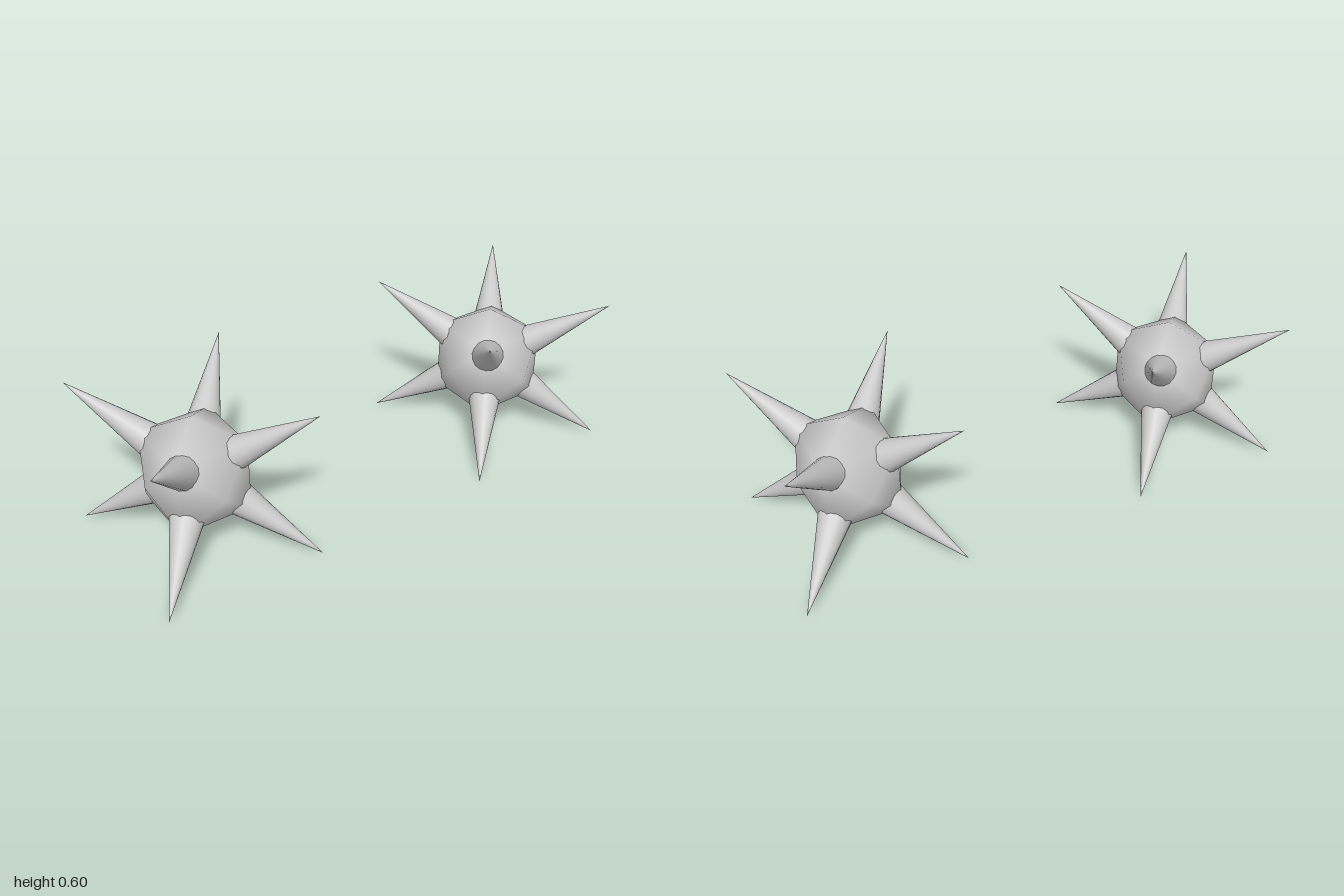
import * as THREE from 'three';
import { ConvexGeometry } from 'three/addons/geometries/ConvexGeometry.js';
import { mergeVertices } from 'three/addons/utils/BufferGeometryUtils.js';

const SIGNS = [-1, 1];
const TIP = new THREE.Vector3(0.313, 0.301, 0.35); // spike tip in the positive octant
const CORNER = 0.142; // half size of the cube under the low pyramids

// Cube with a low pyramid on each face, shaded smooth
function coreGeometry() {
  const points = [];
  for (const s of SIGNS) {
    points.push(new THREE.Vector3(s * 0.198, 0, 0));
    points.push(new THREE.Vector3(0, s * 0.228, 0));
    points.push(new THREE.Vector3(0, 0, s * 0.228));
    for (const t of SIGNS) for (const u of SIGNS) {
      points.push(new THREE.Vector3(s, t, u).multiplyScalar(CORNER));
    }
  }
  const hull = new ConvexGeometry(points);
  hull.deleteAttribute('normal');
  const geometry = mergeVertices(hull, 1e-4);
  geometry.computeVertexNormals();
  return geometry;
}

// Slender cone with its tip at the origin's far end along +y
function spikeGeometry() {
  const reach = TIP.length();
  const length = 0.41;
  const geometry = new THREE.ConeGeometry(0.071, length, 16, 4, true);
  geometry.translate(0, reach - length / 2, 0);
  return geometry;
}

export function createModel() {
  const model = new THREE.Group();
  model.name = 'spikedBalls';
  const material = new THREE.MeshStandardMaterial({ color: 0xcccccc, side: THREE.DoubleSide });
  const core = coreGeometry();
  const spike = spikeGeometry();
  const up = new THREE.Vector3(0, 1, 0);

  for (const side of SIGNS) {
    const ball = new THREE.Group();
    ball.name = side > 0 ? 'leftBall' : 'rightBall';
    ball.position.set(side * 0.687, TIP.y, 0);

    const body = new THREE.Mesh(core, material);
    body.name = 'core';
    ball.add(body);

    // One spike on each of the eight corners
    for (const sx of SIGNS) for (const sy of SIGNS) for (const sz of SIGNS) {
      const mesh = new THREE.Mesh(spike, material);
      mesh.name = 'spike';
      const direction = new THREE.Vector3(sx, sy, sz).multiply(TIP).normalize();
      mesh.quaternion.setFromUnitVectors(up, direction);
      ball.add(mesh);
    }
    model.add(ball);
  }
  return model;
}
